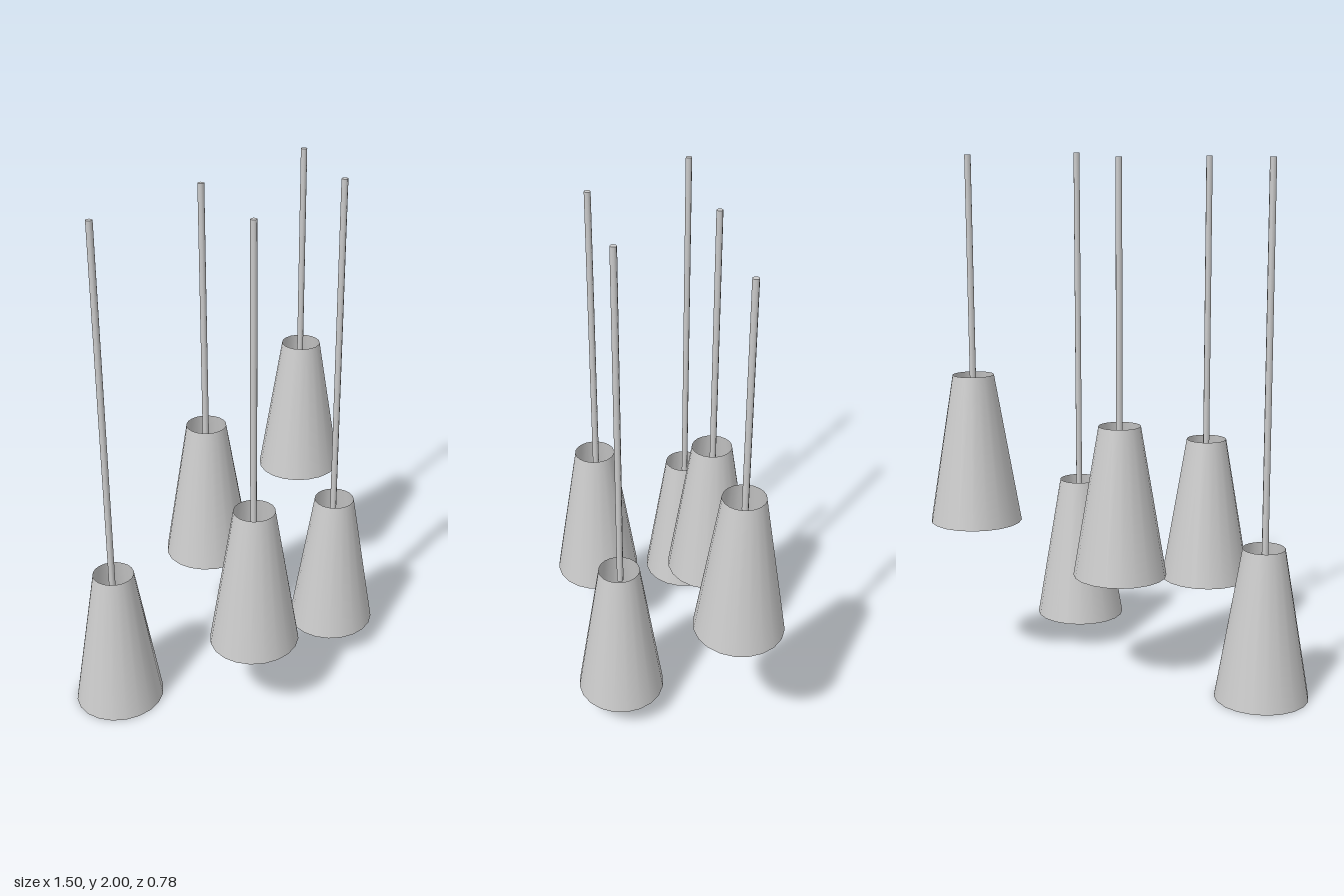
import * as THREE from 'three';

const SHADE_HEIGHT = 0.574;
const CORD_RADIUS = 0.0125;
const CORD_OVERLAP = 0.05; // how far each cord reaches into its shade

// x, z, shade bottom, cord top
const LAMPS = [
  [-0.572, -0.213, 0, 1.973],
  [-0.246, 0.219, 0.3, 1.985],
  [-0.022, -0.221, 0.424, 1.975],
  [0.287, 0.194, 0.103, 2],
  [0.569, -0.213, 0.588, 1.985],
];

export function createModel() {
  const model = new THREE.Group();
  model.name = 'pendantLamps';
  const shadeMaterial = new THREE.MeshStandardMaterial({ color: 0xcccccc, side: THREE.DoubleSide });
  const cordMaterial = new THREE.MeshStandardMaterial({ color: 0xcccccc });

  // Thin tapered shade, open at both ends, its lower rim slightly oval
  const shadeGeometry = new THREE.CylinderGeometry(0.079, 0.177, SHADE_HEIGHT, 20, 1, true);
  shadeGeometry.translate(0, SHADE_HEIGHT / 2, 0);
  const p = shadeGeometry.attributes.position;
  for (let i = 0; i < p.count; i++) {
    if (p.getY(i) < 0.01) p.setZ(i, p.getZ(i) * 0.96);
  }

  LAMPS.forEach(([x, z, bottom, top], i) => {
    const lamp = new THREE.Group();
    lamp.name = `lamp${i + 1}`;
    lamp.position.set(x, bottom, z);

    const shade = new THREE.Mesh(shadeGeometry, shadeMaterial);
    shade.name = 'shade';

    // Straight cord from the shade's upper opening to the ceiling
    const start = SHADE_HEIGHT - CORD_OVERLAP;
    const length = top - bottom - start;
    const cord = new THREE.Mesh(new THREE.CylinderGeometry(CORD_RADIUS, CORD_RADIUS, length, 8), cordMaterial);
    cord.name = 'cord';
    cord.position.set(i === 0 ? -0.005 : 0, start + length / 2, -0.004);

    lamp.add(shade, cord);
    model.add(lamp);
  });
  return model;
}
